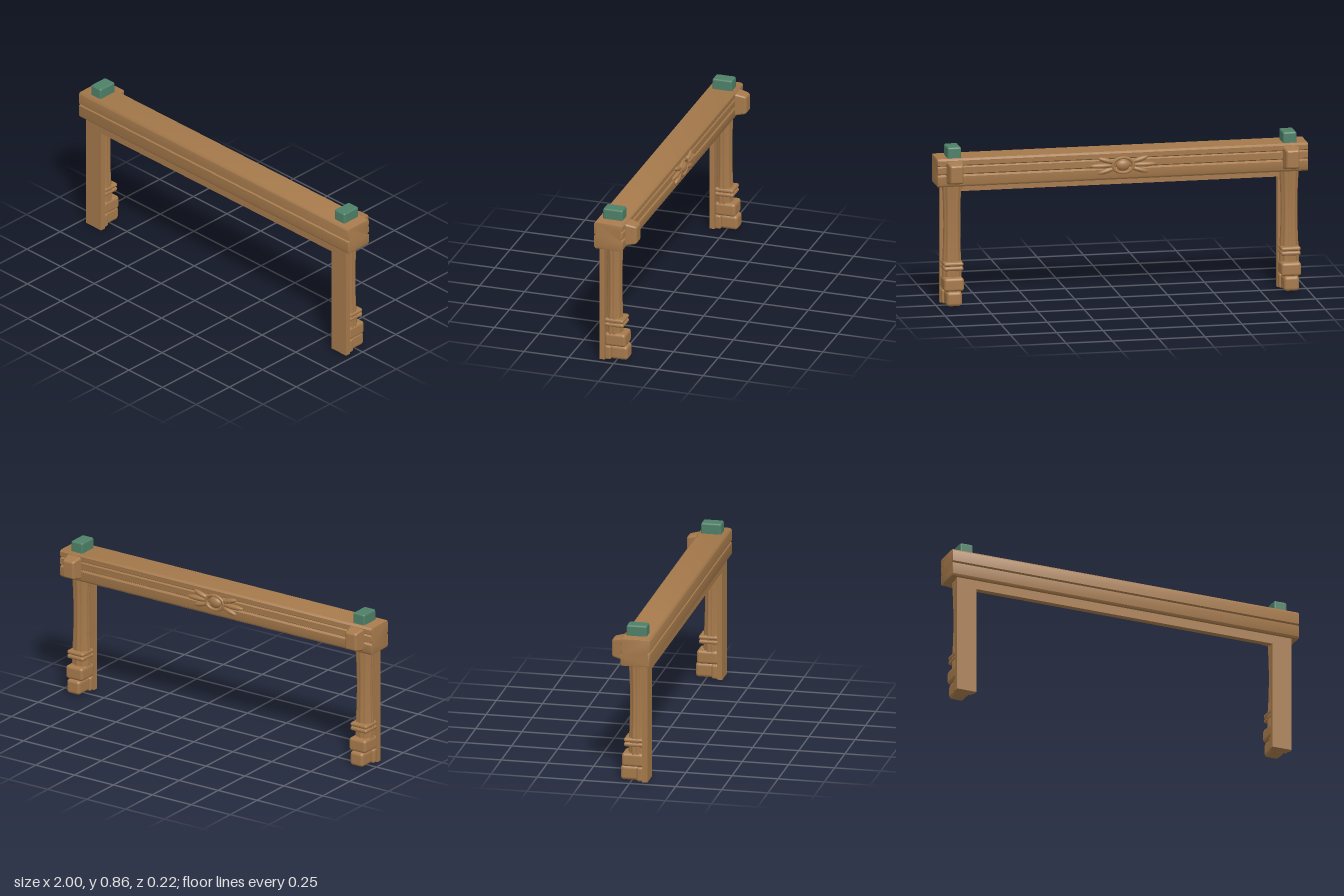
import * as THREE from 'three';
import { RoundedBoxGeometry } from 'three/addons/geometries/RoundedBoxGeometry.js';
import { toCreasedNormals } from 'three/addons/utils/BufferGeometryUtils.js';

const mat = (name, color) => {
  const m = new THREE.MeshStandardMaterial({ color });
  m.name = name;
  return m;
};

export function createModel() {
  const wood = mat('carved wood', 0xa5794b);
  const green = mat('green peg', 0x4e8068);
  const model = new THREE.Group();

  const add = (parent, name, geometry, material = wood) => {
    const mesh = new THREE.Mesh(geometry, material);
    mesh.name = name;
    parent.add(mesh);
    return mesh;
  };
  // Rounded block given by its limits on each axis
  const block = (parent, name, [x0, x1], [y0, y1], [z0, z1], r = 0.012, material = wood) => {
    const mesh = add(parent, name, new RoundedBoxGeometry(x1 - x0, y1 - y0, z1 - z0, 3, r), material);
    mesh.position.set((x0 + x1) / 2, (y0 + y1) / 2, (z0 + z1) / 2);
    return mesh;
  };

  // Lintel: grooved section [z, y] swept along x
  const section = [
    [0.102, 0.65], [0.11, 0.66], [0.11, 0.722], [0.1, 0.727], [0.11, 0.733], [0.11, 0.792], [0.102, 0.802],
    [-0.04, 0.802], [-0.05, 0.792], [-0.05, 0.768], [-0.042, 0.762], [-0.05, 0.755],
    [-0.05, 0.722], [-0.039, 0.715], [-0.05, 0.706], [-0.05, 0.66], [-0.042, 0.65],
  ];
  const lintelShape = new THREE.Shape(section.map(([z, y]) => new THREE.Vector2(-z, y)));
  const lintelGeo = new THREE.ExtrudeGeometry(lintelShape, {
    depth: 1.99, bevelThickness: 0.005, bevelSize: 0.004, bevelOffset: -0.004, bevelSegments: 2,
  });
  lintelGeo.translate(0, 0, -0.995).rotateY(Math.PI / 2);
  add(model, 'lintel', toCreasedNormals(lintelGeo, 0.7));

  // Flat front frame: two uprights joined by an apron, cut as one board
  const frame = new THREE.Shape();
  [[-0.965, 0], [-0.855, 0], [-0.855, 0.6], [0.855, 0.6], [0.855, 0], [0.965, 0], [0.965, 0.66], [-0.965, 0.66]]
    .forEach(([x, y], i) => (i ? frame.lineTo(x, y) : frame.moveTo(x, y)));
  const frameGeo = new THREE.ExtrudeGeometry(frame, { depth: 0.028, bevelEnabled: false });
  frameGeo.translate(0, 0, 0.061);
  add(model, 'frontFrame', frameGeo);

  // Fluted shaft, waisted at mid height
  const shaftGeo = () => {
    const g = new THREE.CylinderGeometry(1, 1, 0.53, 48, 16, true);
    const p = g.attributes.position;
    for (let i = 0; i < p.count; i++) {
      const y = p.getY(i) + 0.39;
      const a = Math.atan2(p.getZ(i), p.getX(i));
      const flare = 0.85 + 0.15 * Math.min(1, ((y - 0.43) / 0.22) ** 2);
      const flute = 0.88 + 0.12 * Math.abs(Math.cos(a * 5 + Math.PI / 2));
      p.setXYZ(i, Math.cos(a) * 0.053 * flare * flute, y, 0.022 + Math.sin(a) * 0.046 * flare * flute);
    }
    g.computeVertexNormals();
    return g;
  };

  // Carved knob tapering towards the back
  const knobGeo = () => {
    const g = new RoundedBoxGeometry(0.096, 0.136, 0.08, 4, 0.014);
    const p = g.attributes.position;
    for (let i = 0; i < p.count; i++) {
      const k = 1 - 0.28 * (0.04 - p.getZ(i)) / 0.08;
      p.setXY(i, p.getX(i) * k, p.getY(i) * k);
    }
    g.computeVertexNormals();
    return g;
  };

  for (const [side, name] of [[1, 'left'], [-1, 'right']]) {
    const post = new THREE.Group();
    post.name = name + 'Post';
    post.position.x = side * 0.91;
    model.add(post);

    add(post, 'shaft', shaftGeo());
    block(post, 'footBack', [-0.053, 0.053], [0, 0.08], [0.028, 0.065]);
    block(post, 'footToe', [-0.042, 0.042], [0.002, 0.082], [-0.061, 0.038], 0.018);
    block(post, 'ankleBlock', [-0.054, 0.054], [0.08, 0.154], [-0.052, 0.065], 0.016);
    for (const y of [0.19, 0.214]) {
      block(post, 'band', [-0.053, 0.053], [y, y + 0.023], [-0.041, 0.065], 0.011);
    }
    add(post, 'backKnob', knobGeo()).position.set(-side * 0.003, 0.727, -0.069);
    block(post, 'topPeg', [-side * 0.005 - 0.037, -side * 0.005 + 0.037], [0.79, 0.86], [-0.03, 0.08], 0.01, green);
  }

  // Carved medallion with leaves at the middle of the back
  const medallion = new THREE.Group();
  medallion.name = 'medallion';
  medallion.position.set(0, 0.728, -0.05);
  model.add(medallion);
  const ball = new THREE.SphereGeometry(1, 20, 12);
  add(medallion, 'boss', ball).scale.set(0.038, 0.03, 0.02);
  const ring = add(medallion, 'ring', new THREE.TorusGeometry(0.048, 0.009, 8, 32));
  ring.scale.set(1.15, 0.85, 1);
  ring.position.z = -0.005;
  for (const s of [-1, 1]) {
    for (const [x, y, length, turn] of [[0.115, 0, 0.065, 0], [0.09, 0.028, 0.048, 0.3], [0.09, -0.028, 0.048, -0.3]]) {
      const leaf = add(medallion, 'leaf', ball);
      leaf.position.set(s * x, y, 0);
      leaf.rotation.z = s * turn;
      leaf.scale.set(length, 0.014, 0.016);
    }
  }
  return model;
}
